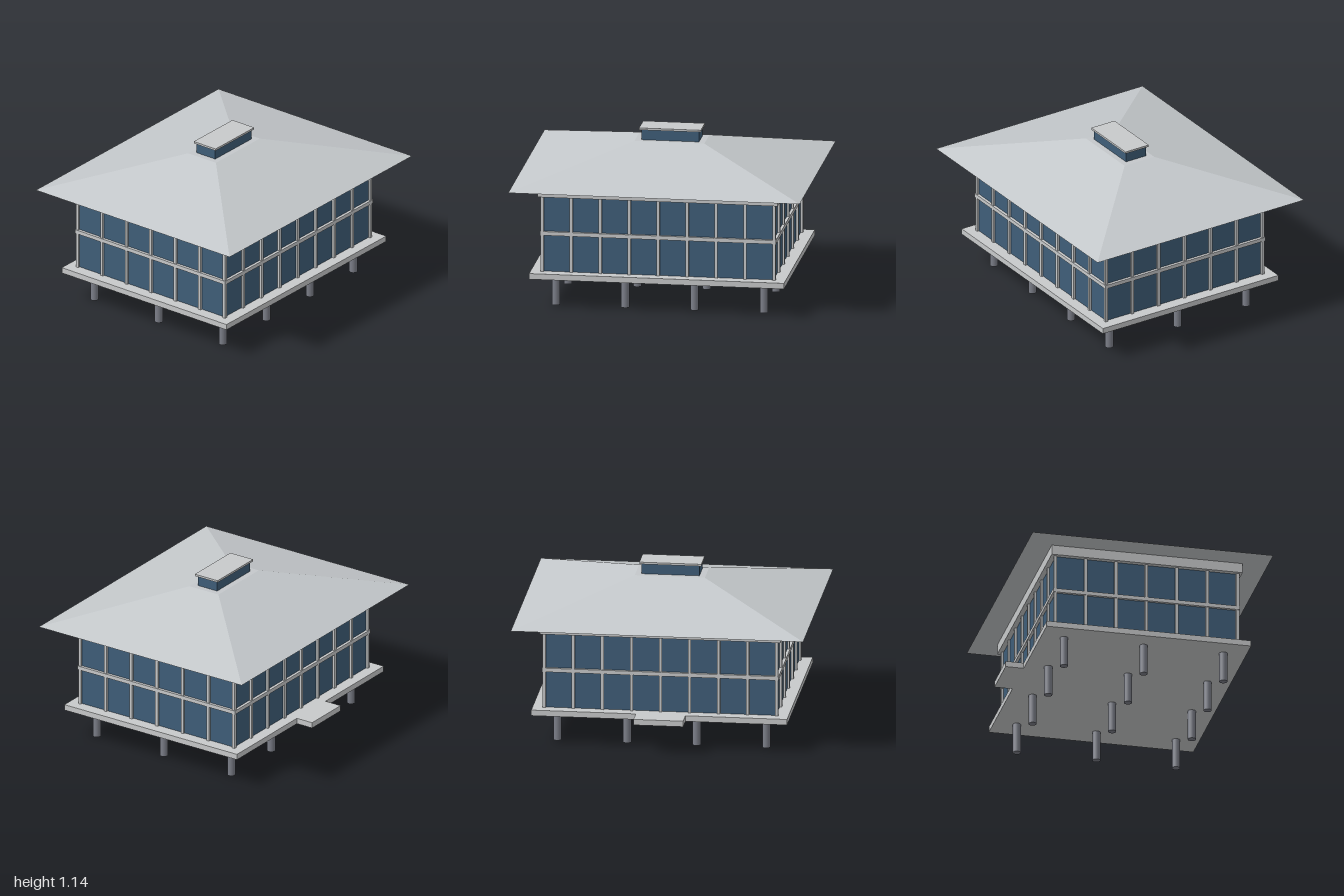
import * as THREE from 'three';

const mat = (name, color) => {
  const m = new THREE.MeshStandardMaterial({ color });
  m.name = name;
  return m;
};

export function createModel() {
  const trim = mat('pale concrete', 0xc8cacb);
  const roofing = mat('roof grey', 0xc4c8cb);
  const glass = mat('blue glass', 0x3f5e79);
  const steel = mat('column grey', 0x7c7f89);

  const model = new THREE.Group();
  model.name = 'pavilion';

  const add = (name, geometry, material, x = 0, y = 0, z = 0) => {
    const mesh = new THREE.Mesh(geometry, material);
    mesh.name = name;
    mesh.position.set(x, y, z);
    model.add(mesh);
    return mesh;
  };
  // Box centred on x, z and spanning y0 to y1
  const slab = (name, w, d, y0, y1, material, x = 0, z = 0) =>
    add(name, new THREE.BoxGeometry(w, y1 - y0, d), material, x, (y0 + y1) / 2, z);

  // Columns in a 4 by 3 grid
  const columnGeometry = new THREE.CylinderGeometry(0.028, 0.028, 0.21, 16);
  for (let i = 0; i < 4; i++) {
    for (let j = -1; j <= 1; j++) {
      add('column', columnGeometry, steel, -0.714 + i * 0.476, 0.105, j * 0.555);
    }
  }

  // Floor and the landing at the back
  slab('floorSlab', 1.75, 1.425, 0.21, 0.25, trim);
  slab('entryLanding', 0.34, 0.126, 0.21, 0.25, trim, -0.01, -0.775);

  // Glazed storey
  slab('glazing', 1.58, 1.26, 0.25, 0.78, glass);

  // Upright mullions: eight bays front and back, six on each side
  const X = 0.795, Z = 0.635, T = 0.021;
  for (const s of [-1, 1]) {
    for (let i = 0; i <= 8; i++) {
      slab('mullion', T, T, 0.25, 0.78, trim, -X + (i * 2 * X) / 8, s * Z);
    }
    for (let i = 1; i < 6; i++) {
      slab('mullion', T, T, 0.25, 0.78, trim, s * X, -Z + (i * 2 * Z) / 6);
    }
    // Middle rails
    slab('middleRail', 1.62, 0.03, 0.505, 0.532, trim, 0, s * Z);
    slab('middleRail', 0.03, 1.3, 0.505, 0.532, trim, s * X, 0);
  }

  // Beam under the eaves
  slab('eavesBeam', 1.65, 1.33, 0.777, 0.845, trim);

  // Hipped roof: a box whose top is drawn in to a small flat deck
  const roof = new THREE.BoxGeometry(2, 0.205, 1.676);
  const p = roof.attributes.position;
  for (let i = 0; i < p.count; i++) {
    if (p.getY(i) > 0) {
      p.setX(i, Math.sign(p.getX(i)) * 0.24);
      p.setZ(i, Math.sign(p.getZ(i)) * 0.12);
    }
  }
  roof.computeVertexNormals();
  add('hippedRoof', roof, roofing, 0, 0.845 + 0.1025, 0);

  // Roof lantern
  slab('lanternGlass', 0.395, 0.16, 1.05, 1.122, glass);
  slab('lanternCap', 0.424, 0.188, 1.122, 1.136, trim);

  return model;
}
